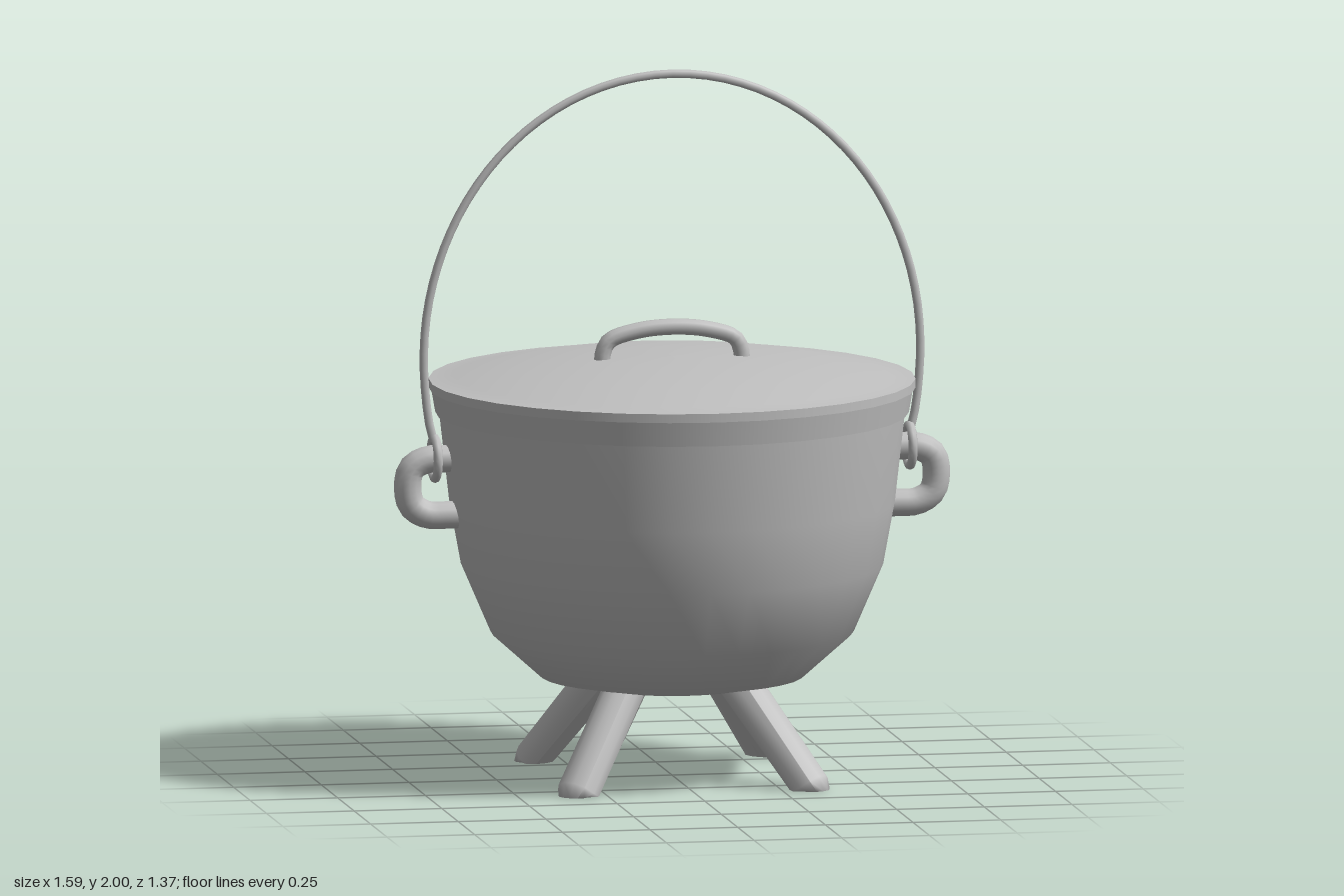
import * as THREE from 'three';

export function createModel() {
  const group = new THREE.Group();
  const iron = new THREE.MeshStandardMaterial({ color: 0xc0c0c0 });
  iron.name = 'castIron';

  const add = (name, geometry, parent = group) => {
    const mesh = new THREE.Mesh(geometry, iron);
    mesh.name = name;
    parent.add(mesh);
    return mesh;
  };
  const v = (x, y, z = 0) => new THREE.Vector3(x, y, z);
  const lathe = (points, sides = 32) =>
    new THREE.LatheGeometry(points.map(p => new THREE.Vector2(...p)), sides);
  const tube = (points, radius, steps, sides) =>
    new THREE.TubeGeometry(new THREE.CatmullRomCurve3(points, false, 'centripetal'), steps, radius, sides);

  // Pot: rounded bowl with a raised band below the lid
  add('potBody', lathe([[0, 0.26], [0.24, 0.26], [0.37, 0.285], [0.51, 0.41], [0.592, 0.6],
    [0.625, 0.78], [0.653, 1.03]]));
  add('rimUnderside', lathe([[0.645, 1.03], [0.664, 1.03]]));
  add('rimBand', lathe([[0.664, 1.03], [0.676, 1.1]]));

  // Lid: thin edge and a shallow dome
  add('lidUnderside', lathe([[0, 1.1], [0.683, 1.1]]));
  add('lidEdge', lathe([[0.683, 1.1], [0.683, 1.125]]));
  add('lidTop', lathe([[0.683, 1.125], [0.61, 1.132], [0.46, 1.163], [0.2, 1.185], [0, 1.188]]));

  // Arched handle on the lid
  add('lidHandle', tube([v(-0.2, 1.16), v(-0.197, 1.2), v(-0.18, 1.235), v(-0.1, 1.262), v(0, 1.271),
    v(0.1, 1.262), v(0.18, 1.235), v(0.197, 1.2), v(0.2, 1.16)], 0.023, 28, 10));

  // Splayed legs with rounded feet flattened on the ground
  const up = v(0, 1, 0);
  for (const sx of [1, -1]) for (const sz of [1, -1]) {
    const foot = v(sx * 0.335, -0.01, sz * 0.335);
    const axis = v(sx * 0.13, 0.33, sz * 0.13).sub(foot);
    const length = axis.length();
    const leg = lathe([[0, -0.03], [0.045, -0.025], [0.063, 0.015], [0.06, length]], 12);
    leg.applyQuaternion(new THREE.Quaternion().setFromUnitVectors(up, axis.normalize()));
    leg.translate(foot.x, foot.y, foot.z);
    const pos = leg.attributes.position;
    for (let i = 0; i < pos.count; i++) pos.setY(i, Math.max(0, pos.getY(i)));
    leg.computeVertexNormals();
    add('leg', leg);
  }

  // Side lugs with the ring of the bail looped through each
  for (const s of [1, -1]) {
    const side = new THREE.Group();
    side.name = s > 0 ? 'leftLug' : 'rightLug';
    add('lug', tube([v(0.57, 0.915), v(0.64, 0.915), v(0.7, 0.913), v(0.742, 0.89), v(0.754, 0.84),
      v(0.742, 0.785), v(0.7, 0.758), v(0.64, 0.755), v(0.57, 0.755)], 0.039, 24, 12), side);
    const ring = new THREE.TorusGeometry(0.057, 0.013, 8, 20);
    ring.rotateY(Math.PI / 2);
    ring.translate(0.677, 0.917, 0);
    add('bailRing', ring, side);
    if (s < 0) side.rotation.y = Math.PI;
    group.add(side);
  }

  // Tall wire bail
  const bail = [v(0.68, 0.965), v(0.695, 1.03)];
  for (let i = 0; i <= 16; i++) {
    const a = Math.PI * i / 16;
    bail.push(v(0.708 * Math.cos(a), 1.2 + 0.788 * Math.sin(a)));
  }
  bail.push(v(-0.695, 1.03), v(-0.68, 0.965));
  add('bail', tube(bail, 0.012, 56, 8));

  return group;
}
